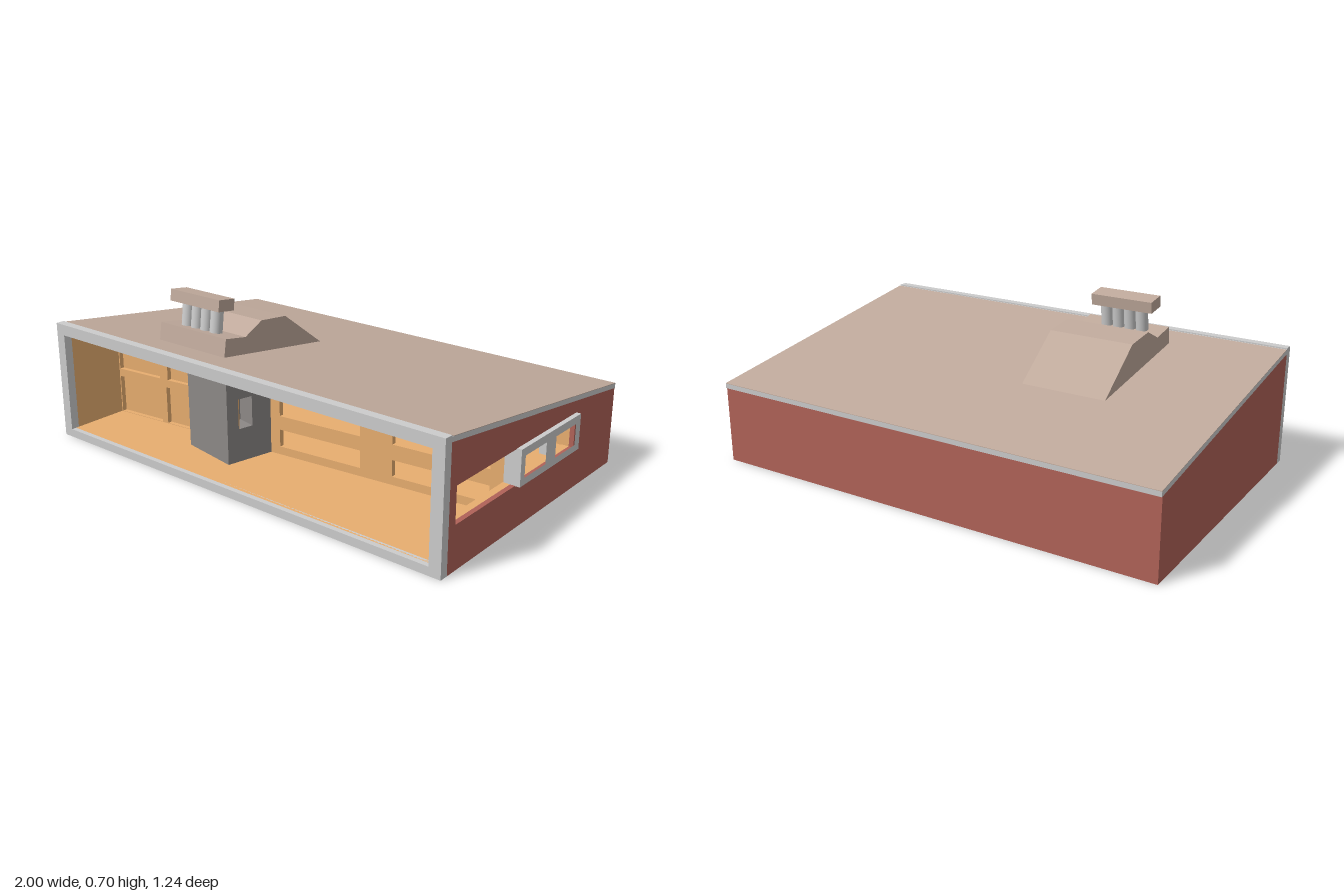
import * as THREE from 'three';

const mat = (color) => new THREE.MeshStandardMaterial({ color, flatShading: true });

// Heights of the sloping roof layers at depth z
const roofTop = (z) => 0.429 + 0.133 * z;
const roofUnder = (z) => roofTop(z) - 0.02;
const ceilingUnder = (z) => roofTop(z) - 0.04;
// Plan line of the slanted inner partition
const partitionZ = (x) => 0.238 - 0.104 * x;

const trace = (Type, pts) => new Type(pts.map(([a, b]) => new THREE.Vector2(a, b)));
const rect = (a0, a1, b0, b1) => [[a0, b0], [a1, b0], [a1, b1], [a0, b1]];

function extrude(pts, depth, holes = []) {
  const shape = trace(THREE.Shape, pts);
  shape.holes = holes.map((h) => trace(THREE.Path, h));
  return new THREE.ExtrudeGeometry(shape, { depth, bevelEnabled: false });
}

// Side profile of [z, y] points, extruded from x0 to x1
function sideProfile(pts, x0, x1, holes = []) {
  const flip = (list) => list.map(([z, y]) => [-z, y]);
  return extrude(flip(pts), x1 - x0, holes.map(flip)).rotateY(Math.PI / 2).translate(x0, 0, 0);
}

// Plan outline of [x, z] points, extruded from y0 to y1
function planPrism(pts, y0, y1) {
  return extrude(pts.map(([x, z]) => [x, -z]), y1 - y0).rotateX(-Math.PI / 2).translate(0, y0, 0);
}

// Box given by its limits
function block(x0, x1, y0, y1, z0, z1) {
  return new THREE.BoxGeometry(x1 - x0, y1 - y0, z1 - z0)
    .translate((x0 + x1) / 2, (y0 + y1) / 2, (z0 + z1) / 2);
}

export function createModel() {
  const group = new THREE.Group();
  const grey = mat(0xcccccc), brick = mat(0xb06258), wood = mat(0xe8ae70);
  const roofing = mat(0xc0aa9c), stone = mat(0x8c8886);
  const add = (name, geometry, material, parent = group) => {
    const mesh = new THREE.Mesh(geometry, material);
    mesh.name = name;
    parent.add(mesh);
    return mesh;
  };

  const F = 0.585, B = -0.615;
  const L = -1, R = 0.98, IL = -0.955, IR = 0.93;

  // Side walls: brick outside, wood inside, long window slot on the right
  const wall = [[F, 0], [B, 0], [B, roofUnder(B)], [F, roofUnder(F)]];
  const slot = rect(-0.285, 0.545, 0.176, 0.32);
  add('leftBrickWall', sideProfile(wall, 0.96, R, [slot]), brick);
  add('leftInnerWall', sideProfile(wall.map(([z, y]) => [z === B ? -0.605 : z, y ? y - 0.002 : 0.01]), IR, 0.96, [slot]), wood);
  add('rightBrickWall', sideProfile(wall, L, -0.98), brick);
  add('rightInnerWall', sideProfile(wall.map(([z, y]) => [z === B ? -0.605 : z, y ? y - 0.002 : 0.01]), -0.98, IL), wood);

  // Back wall, base and floor
  add('backBrickWall', block(-0.98, 0.96, 0, 0.328, B, -0.6), brick);
  add('backInnerWall', block(IL, IR, 0.02, 0.325, -0.6, -0.58), wood);
  add('base', block(-0.98, 0.96, 0, 0.02, -0.6, F), brick);
  add('floor', block(IL, IR, 0.02, 0.035, -0.58, 0.6), wood);

  // Roof slab, covering and ceiling
  const layer = (top, bottom, z0, z1) => [[z0, bottom(z0)], [z1, bottom(z1)], [z1, top(z1)], [z0, top(z0)]];
  add('roofSlab', sideProfile(layer(roofTop, roofUnder, -0.62, F), L, R), grey);
  add('roofCovering', sideProfile(layer((z) => roofTop(z) + 0.002, roofTop, -0.62, 0.578), L, R), roofing);
  add('ceiling', sideProfile(layer(roofUnder, ceilingUnder, -0.6, 0.6), IL, IR), wood);

  // Frame around the open front
  add('frontFrame', extrude(rect(L, R, 0, 0.512), 0.037, [rect(IL, IR, 0.035, 0.465)]).translate(0, 0, F), grey);

  // Slanted partition with window openings, sheared to its plan line
  const shear = (geometry) => {
    const p = geometry.attributes.position;
    for (let i = 0; i < p.count; i++) p.setZ(i, p.getZ(i) + partitionZ(p.getX(i)));
    geometry.computeVertexNormals();
    return geometry;
  };
  const openings = [
    rect(-0.07, 0.315, 0.205, 0.365), rect(0.46, 0.87, 0.205, 0.362),
    rect(-0.07, 0.315, 0.07, 0.145), rect(0.46, 0.87, 0.07, 0.14),
    rect(-0.95, -0.715, 0.24, 0.41), rect(-0.67, -0.43, 0.24, 0.41),
    rect(-0.95, -0.71, 0.037, 0.205), rect(-0.68, -0.43, 0.037, 0.205),
  ];
  const outline = [[IL, 0.03], [IR, 0.03], [IR, 0.414], [IL, 0.442]];
  add('partition', shear(extrude(outline, 0.02, openings).translate(0, 0, -0.02)), wood);
  add('partitionPanels', shear(block(IL, -0.3, 0.03, 0.425, -0.03, -0.02)), wood);

  // Fireplace column, with a notch in its side for the hearth
  const fireplace = new THREE.Group();
  fireplace.name = 'fireplace';
  group.add(fireplace);
  const foot = [[-0.43, 0.27], [-0.43, 0.41], [-0.16, 0.458], [-0.115, 0.245]];
  const notched = [foot[0], foot[1], foot[2], [-0.149, 0.405], [-0.235, 0.387], [-0.22, 0.322], [-0.135, 0.34], foot[3]];
  add('fireplaceBase', planPrism(foot, 0.03, 0.177), stone, fireplace);
  add('fireplaceMiddle', planPrism(notched, 0.177, 0.305), stone, fireplace);
  add('fireplaceTop', planPrism(foot, 0.305, 0.438), stone, fireplace);
  add('hearthLining', planPrism([[-0.152, 0.404], [-0.234, 0.387], [-0.229, 0.365], [-0.222, 0.367], [-0.226, 0.382], [-0.151, 0.398]], 0.177, 0.305), wood, fireplace);

  // Projecting side window with two lights
  add('sideWindow', sideProfile(rect(-0.288, 0.158, 0.175, 0.322), 0.932, 1,
    [rect(-0.025, 0.128, 0.203, 0.29), rect(-0.252, -0.098, 0.203, 0.29)]), grey);

  // Chimney: sloping base, row of flues and a tilted cap
  const chimney = new THREE.Group();
  chimney.name = 'chimney';
  group.add(chimney);
  add('chimneyBase', sideProfile([[0.458, 0.485], [0.445, 0.565], [0.335, 0.547], [0.24, 0.594],
    [0.097, 0.58], [-0.13, 0.411], [-0.1, 0.405], [0.44, 0.475]], -0.535, -0.165), roofing, chimney);
  const smoothGrey = new THREE.MeshStandardMaterial({ color: 0xcccccc });
  for (let i = 0; i < 4; i++) {
    const flue = add('flue', new THREE.CylinderGeometry(0.026, 0.026, 0.11, 24), smoothGrey, chimney);
    flue.position.set(-0.441 + i * 0.0537, 0.6, 0.379);
    flue.rotation.x = -0.132;
  }
  const cap = add('chimneyCap', new THREE.BoxGeometry(0.275, 0.048, 0.086), roofing, chimney);
  cap.position.set(-0.367, 0.6735, 0.371);
  cap.rotation.x = -0.132;

  return group;
}
